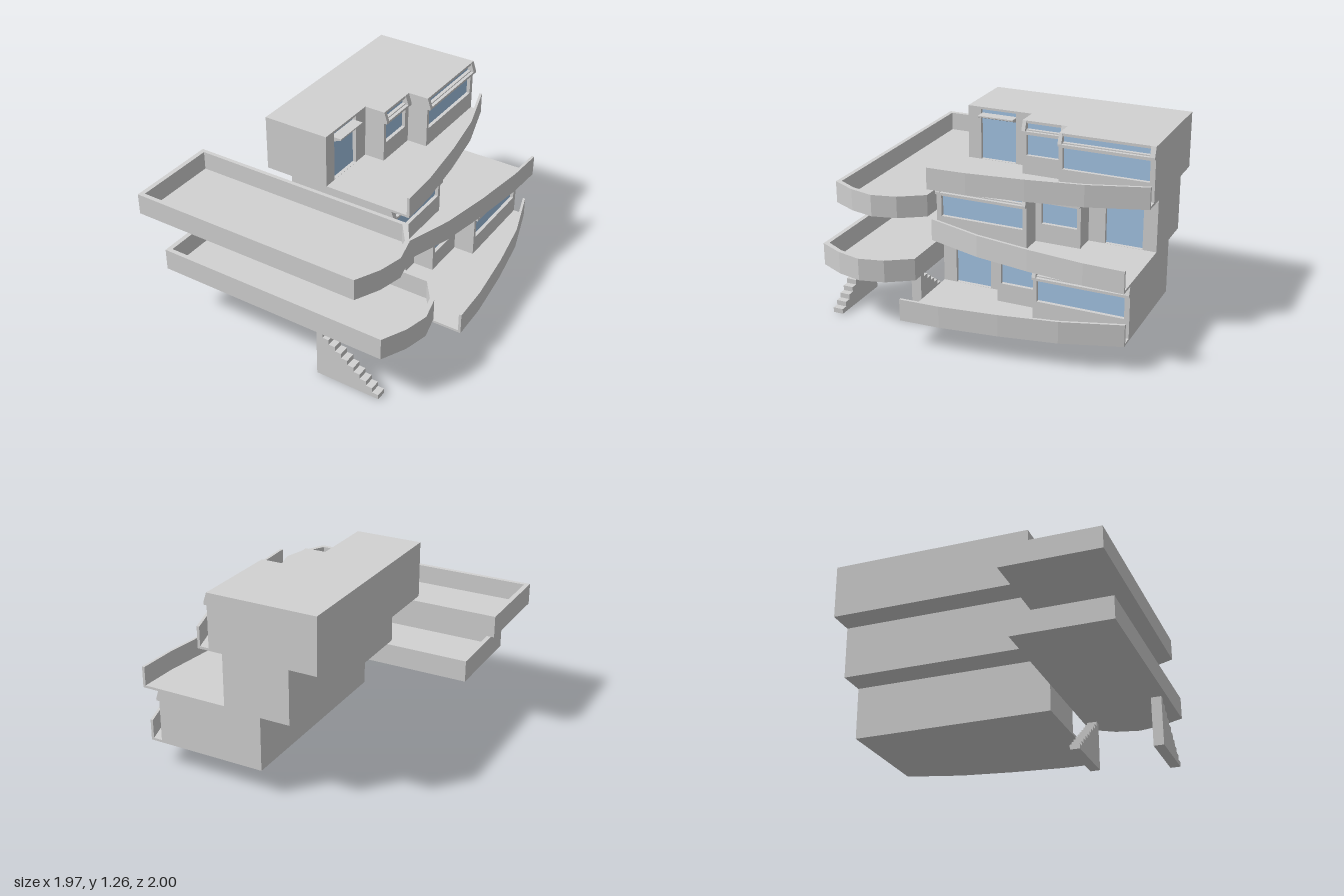
import * as THREE from 'three';

export function createModel() {
  const root = new THREE.Group();
  const concrete = new THREE.MeshStandardMaterial({ color: 0xd2d2d2 });
  concrete.name = 'concrete grey';
  const glass = new THREE.MeshStandardMaterial({ color: 0xa4c5e6 });
  glass.name = 'window blue';

  const add = (parent, name, geo, mat = concrete) => {
    const mesh = new THREE.Mesh(geo, mat);
    mesh.name = name;
    parent.add(mesh);
    return mesh;
  };
  const box = (parent, name, x0, x1, y0, y1, z0, z1, mat) => {
    const geo = new THREE.BoxGeometry(x1 - x0, y1 - y0, Math.abs(z1 - z0));
    geo.translate((x0 + x1) / 2, (y0 + y1) / 2, (z0 + z1) / 2);
    return add(parent, name, geo, mat);
  };
  // Outlines always run counter-clockwise, holes clockwise
  const polygon = (pts, isHole = false) => {
    const list = pts.map(([a, b]) => new THREE.Vector2(a, b));
    if (THREE.ShapeUtils.isClockWise(list) !== isHole) list.reverse();
    return new THREE.Shape(list);
  };
  const extrude = (shape, depth) => new THREE.ExtrudeGeometry(shape, { depth, bevelEnabled: false });
  // Plan outline given as [x, z], raised from y0 to y1
  const plan = (pts, y0, y1, hole) => {
    const flip = (list) => list.map(([x, z]) => [x, -z]);
    const shape = polygon(flip(pts));
    if (hole) shape.holes.push(polygon(flip(hole), true));
    return extrude(shape, y1 - y0).rotateX(-Math.PI / 2).translate(0, y0, 0);
  };
  // Side profile given as [x, y], running from z0 to z1
  const profile = (pts, z0, z1) =>
    extrude(polygon(pts), Math.abs(z1 - z0)).translate(0, 0, Math.min(z0, z1));

  // One storey: stepped block, windows, curved balcony
  const HEIGHT = 0.37, DEPTH = 0.03, BACK = -0.45;
  const edge = [[0.358, -1], [0.476, -0.63], [0.54, -0.27], [0.585, 0.1], [0.595, 0.36]];
  const bays = [
    { x: 0.28, z: [-1, -0.385], win: [-0.967, -0.41] },
    { x: 0.14, z: [-0.385, -0.085], win: [-0.345, -0.11] },
    { x: 0, z: [-0.085, 0.36], win: [0.025, 0.27], door: true },
  ];

  function storey(name, offset, base, mirrored) {
    const g = new THREE.Group();
    g.name = name;
    const Z = (z) => (mirrored ? -0.64 - z : z);
    const mapZ = (pts) => pts.map(([x, z]) => [x, Z(z)]);

    add(g, 'balconyFloor', plan(mapZ([[BACK, -1], ...edge, [BACK, 0.36]]), 0, 0.016));
    const inner = edge.map(([x, z]) => [x - 0.018, z]).reverse();
    add(g, 'balconyParapet', plan(mapZ([...edge, ...inner]), 0.001, 0.142));

    for (const { x, z, win, door } of bays) {
      const [z0, z1] = z.map(Z);
      const [w0, w1] = win.map(Z);
      box(g, 'roomBlock', BACK, x - DEPTH, 0.002, HEIGHT, z0, z1);

      // Facade panel with a main opening and a clerestory opening
      const rect = (a, b, y0, y1) => [[-a, y0], [-b, y0], [-b, y1], [-a, y1]];
      const openings = door
        ? [[0.017, 0.296], [0.325, 0.355]]
        : [[0.14, 0.277], [0.312, 0.353]];
      const panel = polygon(rect(z0, z1, 0.002, HEIGHT));
      for (const [y0, y1] of openings) {
        panel.holes.push(polygon(rect(w0, w1, y0, y1), true));
        box(g, door ? 'doorGlass' : 'windowGlass',
          x - DEPTH, x - DEPTH + 0.006, y0, y1, w0, w1, glass);
      }
      add(g, 'facadePanel', extrude(panel, DEPTH).rotateY(Math.PI / 2).translate(x - DEPTH, 0, 0));

      if (door) {
        // Shelf canopy over the door
        add(g, 'doorCanopy', profile(
          [[x, 0.296], [x + 0.05, 0.316], [x + 0.05, 0.325], [x, 0.325]], w0, w1));
      } else {
        // Sloping hood: projecting sill closed by a wedge at each end
        box(g, 'hoodSill', x, x + 0.022, 0.29, 0.305, z0, z1);
        const cheek = [[x, 0.305], [x + 0.022, 0.305], [x, HEIGHT]];
        add(g, 'hoodCheek', profile(cheek, z0, w0));
        add(g, 'hoodCheek', profile(cheek, w1, z1));
      }
    }
    g.position.set(offset, base, 0);
    root.add(g);
  }
  storey('lowerStorey', 0.387, 0.171, false);
  storey('middleStorey', 0.187, 0.53, true);
  storey('upperStorey', 0, 0.89, false);

  // Long terrace trays with a faceted rounded end
  const trayOuter = [[-0.985, 0.36], [0.59, 0.36], [0.692, 0.52], [0.73, 0.68],
    [0.692, 0.84], [0.615, 1], [-0.985, 1]];
  const trayInner = [[-0.953, 0.387], [0.565, 0.387], [0.662, 0.52], [0.695, 0.68],
    [0.662, 0.84], [0.593, 0.97], [-0.953, 0.97]];
  function terrace(name, offset, base, height) {
    const g = new THREE.Group();
    g.name = name;
    add(g, 'terraceWall', plan(trayOuter, 0, height, trayInner));
    add(g, 'terraceFloor', plan(trayInner, 0, 0.015));
    g.position.set(offset, base, 0);
    root.add(g);
  }
  terrace('lowerTerrace', 0.183, 0.348, 0.147);
  terrace('upperTerrace', 0, 0.707, 0.143);

  // Solid staircases, climbing in opposite directions
  function stairs(name, xHigh, xLow, z0, z1) {
    const steps = 10, rise = 0.33 / steps, run = (xLow - xHigh) / steps;
    const pts = [[xHigh, 0], [xHigh, 0.33]];
    for (let i = 1; i <= steps; i++) {
      pts.push([xHigh + run * i, rise * (steps - i + 1)]);
      pts.push([xHigh + run * i, rise * (steps - i)]);
    }
    pts.pop();
    pts.push([xLow, 0]);
    add(root, name, profile(pts, z0, z1));
  }
  stairs('frontStairs', 0.33, 0.77, 0.907, 0.975);
  stairs('rearStairs', 0.645, 0.205, 0.393, 0.46);

  return root;
}
